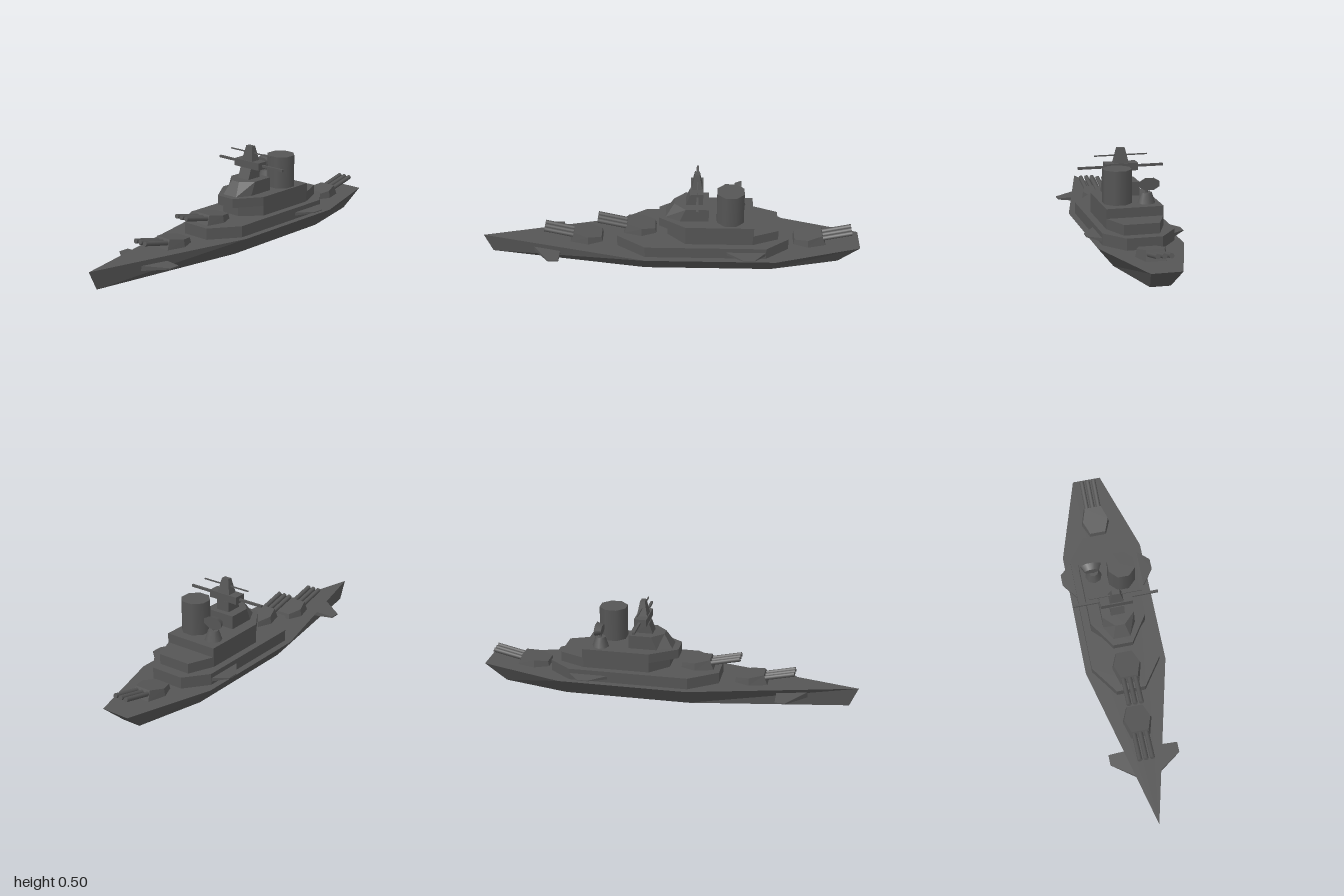
import * as THREE from 'three';

const grey = new THREE.MeshStandardMaterial({ color: 0x555555 });
grey.name = 'battleship grey';

// Closed solid between two convex rings of equal length (counter-clockwise seen from ring b's side)
function loft(a, b) {
  const pos = [], n = a.length;
  const tri = (...pts) => pts.forEach(p => pos.push(...p));
  for (let i = 0; i < n; i++) {
    const j = (i + 1) % n;
    tri(a[i], a[j], b[j]);
    tri(a[i], b[j], b[i]);
    if (i > 0 && i < n - 1) {
      tri(b[0], b[i], b[j]);
      tri(a[0], a[j], a[i]);
    }
  }
  const g = new THREE.BufferGeometry();
  g.setAttribute('position', new THREE.Float32BufferAttribute(pos, 3));
  g.computeVertexNormals();
  return g;
}

// Mirrored horizontal outline from half points [x, z], bow to stern; y may depend on z
function ring(half, y) {
  const h = typeof y === 'function' ? y : () => y;
  const right = half.map(([x, z]) => [x, h(z), z]);
  const left = right.filter(p => p[0] > 0).reverse().map(([x, yy, z]) => [-x, yy, z]);
  return [...right, ...left];
}

function add(parent, name, geometry, x = 0, y = 0, z = 0) {
  const m = new THREE.Mesh(geometry, grey);
  m.name = name;
  m.position.set(x, y, z);
  parent.add(m);
  return m;
}

const tier = (parent, name, y0, y1, lower, upper = lower) =>
  add(parent, name, loft(ring(lower, y0), ring(upper, y1)));

// Tapered fin on both sides; each section is [x, zFront, zBack, yLow, yHigh]
function finPair(parent, name, root, tip) {
  const section = ([x, zf, zb, y0, y1], s) => {
    const r = [[s * x, y0, zf], [s * x, y0, zb], [s * x, y1, zb], [s * x, y1, zf]];
    return s > 0 ? r : r.reverse();
  };
  for (const s of [1, -1]) add(parent, name, loft(section(root, s), section(tip, s)));
}

// Triple-gun turret: rear at the local origin, barrels towards +z
function turret(parent, name, y, z, backwards) {
  const g = new THREE.Group();
  g.name = name;
  g.position.set(0, y, z);
  if (backwards) g.rotation.y = Math.PI;
  add(g, 'turretHouse', loft(
    ring([[0.05, 0.17], [0.077, 0.075], [0.045, 0]], 0),
    ring([[0.045, 0.15], [0.07, 0.075], [0.042, 0.005]], zz => 0.026 + 0.17 * zz)));
  const from = new THREE.Vector3(0, 0.026, 0.13), to = new THREE.Vector3(0, 0.066, 0.308);
  const len = from.distanceTo(to), mid = from.clone().lerp(to, 0.5);
  for (const x of [-0.033, 0, 0.033]) {
    const b = add(g, 'gunBarrel', new THREE.CylinderGeometry(0.0125, 0.0125, len, 8), x, mid.y, mid.z);
    b.rotation.x = Math.atan2(to.z - from.z, to.y - from.y);
  }
  parent.add(g);
}

export function createModel() {
  const ship = new THREE.Group();
  ship.name = 'battleship';

  // Hull with raked bow, flared sides and sloping transom
  tier(ship, 'hull', 0, 0.1,
    [[0, 0.955], [0.135, 0.13], [0.135, -0.53], [0.05, -0.89]],
    [[0, 1], [0.217, 0.13], [0.217, -0.55], [0.077, -1]]);
  finPair(ship, 'bowFin', [0.04, 0.74, 0.58, 0.045, 0.075], [0.184, 0.64, 0.585, 0.063, 0.069]);
  finPair(ship, 'sideFin', [0.18, -0.29, -0.5, 0.117, 0.136], [0.248, -0.38, -0.44, 0.128, 0.132]);

  // Stepped superstructure
  tier(ship, 'lowerDeckhouse', 0.1, 0.16, [[0.077, 0.28], [0.183, 0.13], [0.183, -0.5], [0.09, -0.62]]);
  tier(ship, 'middleDeckhouse', 0.16, 0.213, [[0.052, 0.015], [0.146, -0.08], [0.146, -0.43], [0.09, -0.565]]);
  tier(ship, 'upperDeckhouse', 0.213, 0.262, [[0.052, 0.06], [0.146, -0.08], [0.146, -0.435]]);

  // Bridge tower, lookout and mast
  tier(ship, 'bridge', 0.262, 0.333,
    [[0.045, 0.025], [0.085, -0.05], [0.085, -0.2]],
    [[0.025, -0.02], [0.085, -0.08], [0.085, -0.2]]);
  tier(ship, 'upperBridge', 0.333, 0.388,
    [[0.037, -0.08], [0.037, -0.17]], [[0.037, -0.1], [0.037, -0.17]]);
  add(ship, 'lookout', new THREE.BoxGeometry(0.17, 0.039, 0.065), 0, 0.407, -0.137);
  tier(ship, 'mast', 0.426, 0.504,
    [[0.037, -0.11], [0.037, -0.165]], [[0.02, -0.125], [0.02, -0.15]]);
  add(ship, 'rangefinderBar', new THREE.BoxGeometry(0.448, 0.012, 0.012), 0, 0.406, -0.14);
  add(ship, 'yardarm', new THREE.BoxGeometry(0.28, 0.006, 0.006), 0, 0.466, -0.14);

  // Funnel, offset to port
  const r = 0.07 / Math.cos(Math.PI / 8);
  const funnel = add(ship, 'funnel', new THREE.CylinderGeometry(r, r, 0.173, 8), 0.062, 0.3485, -0.312);
  funnel.rotation.y = Math.PI / 8;

  // Radar dish on a conical pedestal, offset to starboard
  add(ship, 'radarPedestal', new THREE.CylinderGeometry(0.027, 0.045, 0.053, 8), -0.08, 0.2885, -0.35);
  add(ship, 'radarPost', new THREE.CylinderGeometry(0.008, 0.008, 0.04, 6), -0.08, 0.33, -0.35);
  const dishGeo = new THREE.CylinderGeometry(0.04, 0.057, 0.035, 8);
  dishGeo.rotateY(Math.PI / 8).rotateX(Math.PI / 2).scale(1, 0.6, 1);
  add(ship, 'radarDish', dishGeo, -0.09, 0.36, -0.352);

  // Main battery
  turret(ship, 'forwardTurret', 0.1, 0.36, false);
  turret(ship, 'raisedTurret', 0.16, 0.075, false);
  turret(ship, 'aftTurret', 0.1, -0.65, true);

  return ship;
}
